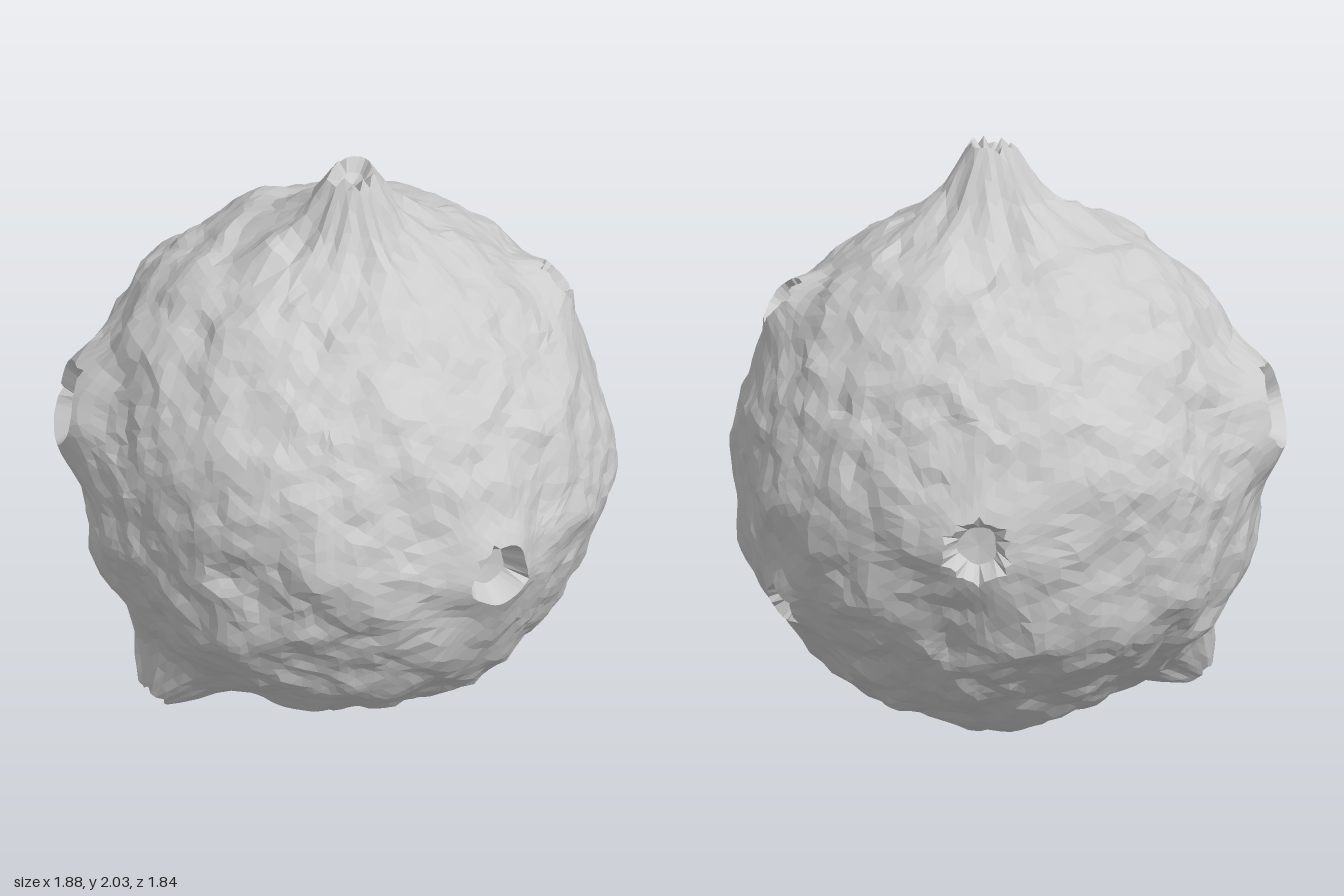
import * as THREE from 'three';

const RADIUS = 0.885;

// Angle from the feature's axis -> height over the sphere
const PEAK = [[0, 0.17], [0.035, 0.19], [0.06, 0.235], [0.117, 0.145], [0.183, 0.066], [0.258, 0.032], [0.4, 0]];
const SPOUT = [[0, 0.12], [0.035, 0.13], [0.062, 0.17], [0.13, 0.1], [0.19, 0.042], [0.29, 0]];
const crater = (r, lip, depth) => [
  [0, -depth], [r * 0.68, -depth * 0.85], [r, lip], [r * 1.3, lip * 0.75], [r * 1.8, lip * 0.25], [r * 2.4, 0],
];

// Direction, profile, reach of the finer mesh, ridge depth
const features = [
  // peak on top
  { dir: [0.03, 1, 0.025], profile: PEAK, reach: 0.48, ridge: 0.02 },
  // spout, low on the right
  { dir: [-0.62, -0.8, 0.25], profile: SPOUT, reach: 0.42, ridge: 0.012 },
  // front crater
  { dir: [0.52, -0.025, 0.76], profile: crater(0.12, 0.045, 0.05), reach: 0.48, ridge: 0 },
  // upper left crater
  { dir: [0.71, 0.57, -0.13], profile: crater(0.085, 0.05, 0.035), reach: 0.4, ridge: 0.006 },
  // lower left crater
  { dir: [0.62, -0.345, -0.53], profile: crater(0.075, 0.03, 0.04), reach: 0.4, ridge: 0.004 },
  // right crater
  { dir: [-0.91, 0.22, 0.07], profile: crater(0.15, 0.085, -0.02), reach: 0.48, ridge: 0 },
  // back crater
  { dir: [-0.09, 0.02, -0.87], profile: crater(0.115, 0.03, 0.05), reach: 0.45, ridge: 0 },
].map((f) => {
  const axis = new THREE.Vector3(...f.dir).normalize();
  const u = new THREE.Vector3(0.3, 0.2, 0.9).cross(axis).normalize();
  return { ...f, axis, u, v: axis.clone().cross(u) };
});

function sample(profile, t) {
  for (let i = 1; i < profile.length; i++) {
    const [a, ha] = profile[i - 1], [b, hb] = profile[i];
    if (t <= b) return ha + ((hb - ha) * (t - a)) / (b - a);
  }
  return 0;
}

// Moves points of a mouth onto its floor, inner and rim rings for a clean edge
function snap(profile, t) {
  const rings = profile.slice(0, 3).map((k) => k[0]);
  if (t > rings[2] * 1.15) return t;
  return rings.reduce((best, r) => (Math.abs(r - t) < Math.abs(best - t) ? r : best));
}

// Smooth lattice noise, -1 to 1
function hash(x, y, z) {
  const s = Math.sin(x * 127.1 + y * 311.7 + z * 74.7) * 43758.5453;
  return (s - Math.floor(s)) * 2 - 1;
}
function noise(p, f, shift = 0) {
  const c = [p.x, p.y, p.z].map((k) => k * f + shift);
  const i = c.map(Math.floor);
  const w = c.map((k, n) => { const t = k - i[n]; return t * t * (3 - 2 * t); });
  let sum = 0;
  for (let n = 0; n < 8; n++) {
    const b = [n & 1, (n >> 1) & 1, n >> 2];
    const weight = b.reduce((m, bit, k) => m * (bit ? w[k] : 1 - w[k]), 1);
    sum += weight * hash(i[0] + b[0], i[1] + b[1], i[2] + b[2]);
  }
  return sum;
}

// Moves one point of the unit sphere to the lumpy surface
function shapePoint(p) {
  // Irregular facets, calmer near the features
  const near = Math.min(...features.map((f) => p.angleTo(f.axis) / f.reach));
  const jitter = 0.028 * THREE.MathUtils.smoothstep(near, 0.5, 1);
  p.set(
    p.x + jitter * noise(p, 13, 5.3),
    p.y + jitter * noise(p, 13, 31.7),
    p.z + jitter * noise(p, 13, 57.1),
  ).normalize();
  let height = 0, calm = 1;
  for (const f of features) {
    const angle = p.angleTo(f.axis);
    if (angle >= f.reach) continue;
    // Draw the mesh in towards the feature, then raise it by the profile
    const t = snap(f.profile, f.reach * (angle / f.reach) ** 1.9);
    const phi = Math.atan2(p.dot(f.v), p.dot(f.u));
    const wobble = 1 + (0.07 * Math.cos(3 * phi + f.axis.x * 9) + 0.05 * Math.cos(5 * phi)) * (1 - t / f.reach);
    const side = p.clone().addScaledVector(f.axis, -p.dot(f.axis)).normalize();
    p.copy(f.axis).multiplyScalar(Math.cos(t * wobble)).addScaledVector(side, Math.sin(t * wobble));
    height = sample(f.profile, t);
    // Radial ridges on the flank
    const end = f.profile.at(-1)[0];
    const flank = THREE.MathUtils.clamp((t - 0.05) / 0.07, 0, 1) * THREE.MathUtils.clamp((end - t) / 0.15, 0, 1);
    height += f.ridge * flank * (Math.cos(11 * phi) * 0.6 + Math.cos(7 * phi + 1) * 0.4);
    calm = 0.3 + 0.7 * THREE.MathUtils.smoothstep(t, 0.1, 0.4);
  }
  const lumps = 0.026 * noise(p, 3.1, 11.2) + 0.02 * noise(p, 7, 3.9) + 0.014 * noise(p, 14, 8.4);
  return p.multiplyScalar(RADIUS + height + lumps * calm);
}

export function createModel() {
  const group = new THREE.Group();
  group.name = 'crateredBall';

  const geometry = new THREE.IcosahedronGeometry(1, 25);
  const pos = geometry.attributes.position;
  const p = new THREE.Vector3();
  for (let i = 0; i < pos.count; i++) {
    shapePoint(p.fromBufferAttribute(pos, i).normalize());
    pos.setXYZ(i, p.x, p.y, p.z);
  }

  // Stand on the ground, centred
  geometry.computeBoundingBox();
  const { min, max } = geometry.boundingBox;
  geometry.translate(-(min.x + max.x) / 2, -min.y, -(min.z + max.z) / 2);
  geometry.computeVertexNormals();

  const body = new THREE.Mesh(geometry, new THREE.MeshStandardMaterial({ color: 0xcccccc, flatShading: true }));
  body.name = 'crateredBody';
  group.add(body);
  return group;
}
